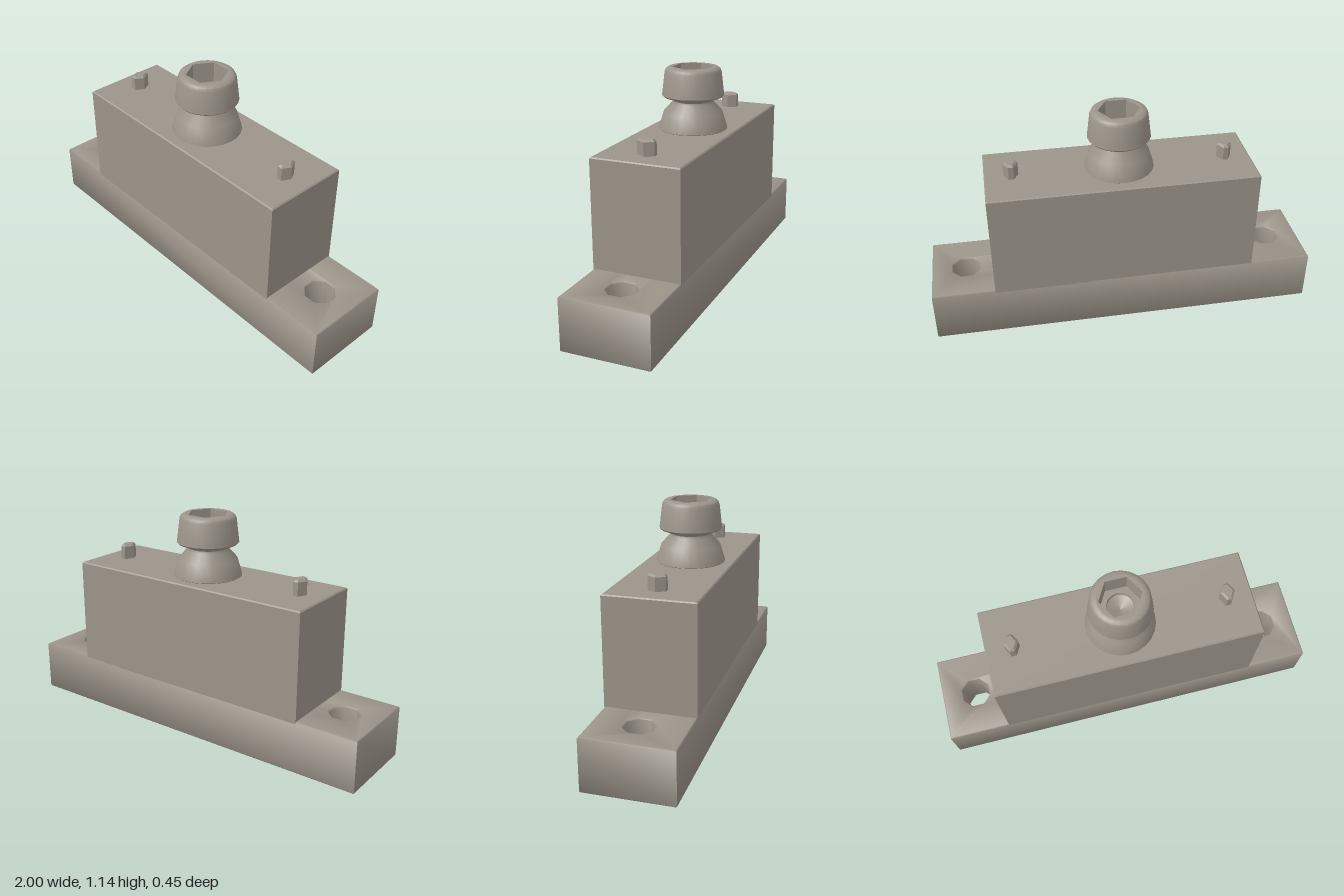
import * as THREE from 'three';
import { toCreasedNormals } from 'three/addons/utils/BufferGeometryUtils.js';

const metal = new THREE.MeshStandardMaterial({ color: 0x9b9489 });
metal.name = 'warm grey metal';

// regular polygon outline as points
function polygon(cx, r, n, turn = 0) {
  return Array.from({ length: n }, (_, i) => {
    const a = turn + (i / n) * Math.PI * 2;
    return new THREE.Vector2(cx + r * Math.cos(a), r * Math.sin(a));
  });
}

// plan outline raised from y0 to y1, with a small chamfer
function prism(points, y0, y1, bevel, holes = []) {
  const shape = new THREE.Shape(points);
  shape.holes = holes.map((h) => new THREE.Path(h));
  const geo = new THREE.ExtrudeGeometry(shape, {
    depth: y1 - y0 - 2 * bevel,
    bevelEnabled: bevel > 0,
    bevelSize: bevel,
    bevelThickness: bevel,
    bevelOffset: -bevel,
    bevelSegments: 1,
  });
  geo.rotateX(-Math.PI / 2);
  geo.translate(0, y0 + bevel, 0);
  return geo;
}

function rectangle(hx, hz) {
  return [[-hx, -hz], [hx, -hz], [hx, hz], [-hx, hz]].map((p) => new THREE.Vector2(...p));
}

export function createModel() {
  const model = new THREE.Group();
  model.name = 'mountingBlock';
  const add = (name, geo) => {
    const mesh = new THREE.Mesh(geo, metal);
    mesh.name = name;
    model.add(mesh);
    return mesh;
  };

  // base with outer through holes and inner holes closed by the upper block
  const holes = [];
  for (const s of [-1, 1]) {
    holes.push(polygon(s * 0.82, 0.078, 8, Math.PI / 8));
    holes.push(polygon(s * 0.457, 0.075, 8));
  }
  add('base', toCreasedNormals(prism(rectangle(1, 0.225), 0, 0.272, 0.006, holes), 0.8));

  // upper block, sunk slightly into the base
  add('upperBlock', prism(rectangle(0.68, 0.225), 0.255, 0.82, 0.006));

  // hexagonal locating pins
  const hex = [[0.037, 0], [0.013, 0.044], [-0.013, 0.044], [-0.037, 0], [-0.013, -0.044], [0.013, -0.044]]
    .map((p) => new THREE.Vector2(...p));
  for (const s of [-1, 1]) {
    const pin = add(s > 0 ? 'leftPin' : 'rightPin', prism(hex, 0.79, 0.898, 0.01));
    pin.position.x = s * 0.545;
  }

  // turned stud: flared foot, narrow neck and tapered head
  const profile = [
    [0.165, 0.815], [0.176, 0.823], [0.174, 0.832], [0.151, 0.908], [0.108, 0.955], [0.105, 0.966],
    [0.111, 0.976], [0.125, 0.983], [0.152, 0.987], [0.159, 0.995], [0.157, 1.01],
    [0.145, 1.112], [0.138, 1.128], [0.126, 1.136], [0.113, 1.138],
  ].map((p) => new THREE.Vector2(...p));
  add('stud', toCreasedNormals(new THREE.LatheGeometry(profile, 24), 0.6));

  // hexagonal socket in the head
  add('socketWall', prism(polygon(0, 0.113, 24, Math.PI / 2), 1.0, 1.138, 0, [polygon(0, 0.105, 6)]));
  const floor = [[0.112, 1.03], [0.067, 1.03], [0.064, 1.015], [0, 0.985]].map((p) => new THREE.Vector2(...p));
  add('socketFloor', toCreasedNormals(new THREE.LatheGeometry(floor, 24), 0.4));

  return model;
}
